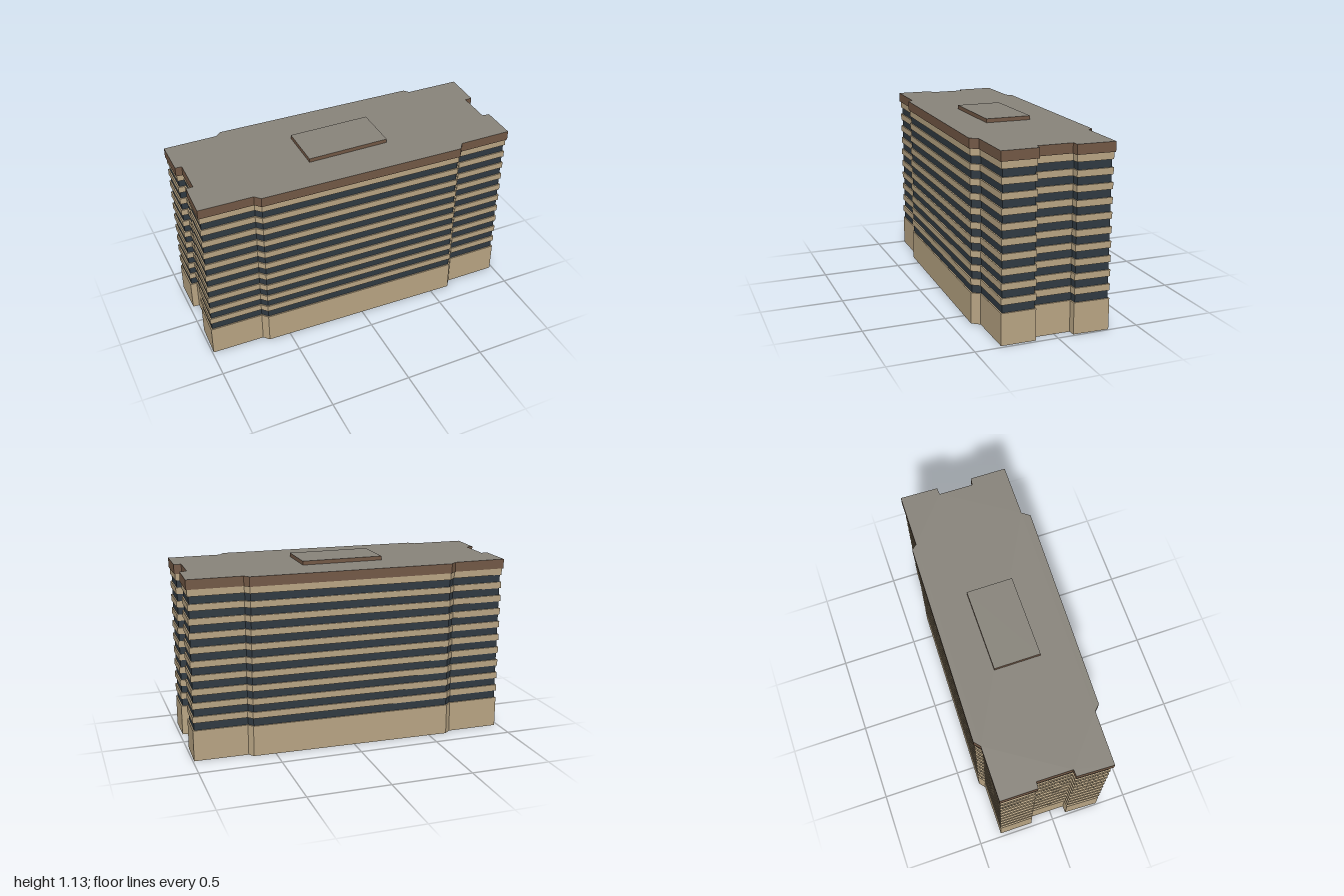
import * as THREE from 'three';

const mat = (name, color) => {
  const m = new THREE.MeshStandardMaterial({ color });
  m.name = name;
  return m;
};

// Roof outline as [x, z], starting at the back left corner
const OUTLINE = [
  [-0.985, -0.361], [-0.655, -0.36], [-0.618, -0.392], [0.639, -0.365], [0.665, -0.333],
  [1.0, -0.328], [0.993, -0.095], [0.949, -0.092], [0.946, 0.118], [0.991, 0.124],
  [0.989, 0.346], [0.663, 0.343], [0.628, 0.39], [-0.639, 0.355], [-0.671, 0.321],
  [-1.0, 0.314], [-0.991, 0.088], [-0.949, 0.086], [-0.946, -0.132], [-0.986, -0.135],
];

// Moves every edge of the outline inwards by d, with mitred corners
function inset(points, d) {
  const count = points.length;
  const normals = points.map(([x, z], i) => {
    const [x2, z2] = points[(i + 1) % count];
    const len = Math.hypot(x2 - x, z2 - z);
    return [-(z2 - z) / len, (x2 - x) / len];
  });
  return points.map(([x, z], i) => {
    const a = normals[(i + count - 1) % count];
    const b = normals[i];
    const k = d / (1 + a[0] * b[0] + a[1] * b[1]);
    return [x + (a[0] + b[0]) * k, z + (a[1] + b[1]) * k];
  });
}

// Upright prism over an outline, from y0 to y1
function prism(name, points, y0, y1, material) {
  const shape = new THREE.Shape(points.map(([x, z]) => new THREE.Vector2(x, -z)));
  const geometry = new THREE.ExtrudeGeometry(shape, { depth: y1 - y0, bevelEnabled: false });
  geometry.rotateX(-Math.PI / 2).translate(0, y0, 0);
  const mesh = new THREE.Mesh(geometry, material);
  mesh.name = name;
  return mesh;
}

export function createModel() {
  const stone = mat('tan stone', 0xb8a483);
  const glass = mat('dark glass', 0x2f3941);
  const brown = mat('brown trim', 0x725845);
  const gravel = mat('grey roofing', 0x87837a);

  const model = new THREE.Group();
  model.name = 'officeBlock';
  const wall = inset(OUTLINE, 0.007);
  const recessed = inset(OUTLINE, 0.015);

  // Ground storey and glazed core
  model.add(prism('base', wall, 0, 0.191, stone));
  model.add(prism('windows', recessed, 0.19, 1.04, glass));

  // Stone bands between the window rows
  const bands = new THREE.Group();
  bands.name = 'floorBands';
  for (let i = 0; i < 10; i++) {
    const y = 0.239 + i * 0.0849;
    bands.add(prism('floorBand', wall, y, i === 9 ? 1.045 : y + 0.039, stone));
  }
  model.add(bands);

  // Overhanging roof edge with its grey deck
  const deckTop = 1.104;
  model.add(prism('roofEdge', OUTLINE, 1.045, deckTop - 0.001, brown));
  model.add(prism('roofDeck', OUTLINE, deckTop - 0.001, deckTop, [gravel, brown]));

  // Low plant room on the roof
  const room = [[-0.252, -0.143], [0.255, -0.143], [0.255, 0.14], [-0.252, 0.14]];
  model.add(prism('plantRoom', room, deckTop, 1.128, [gravel, brown]));

  return model;
}
